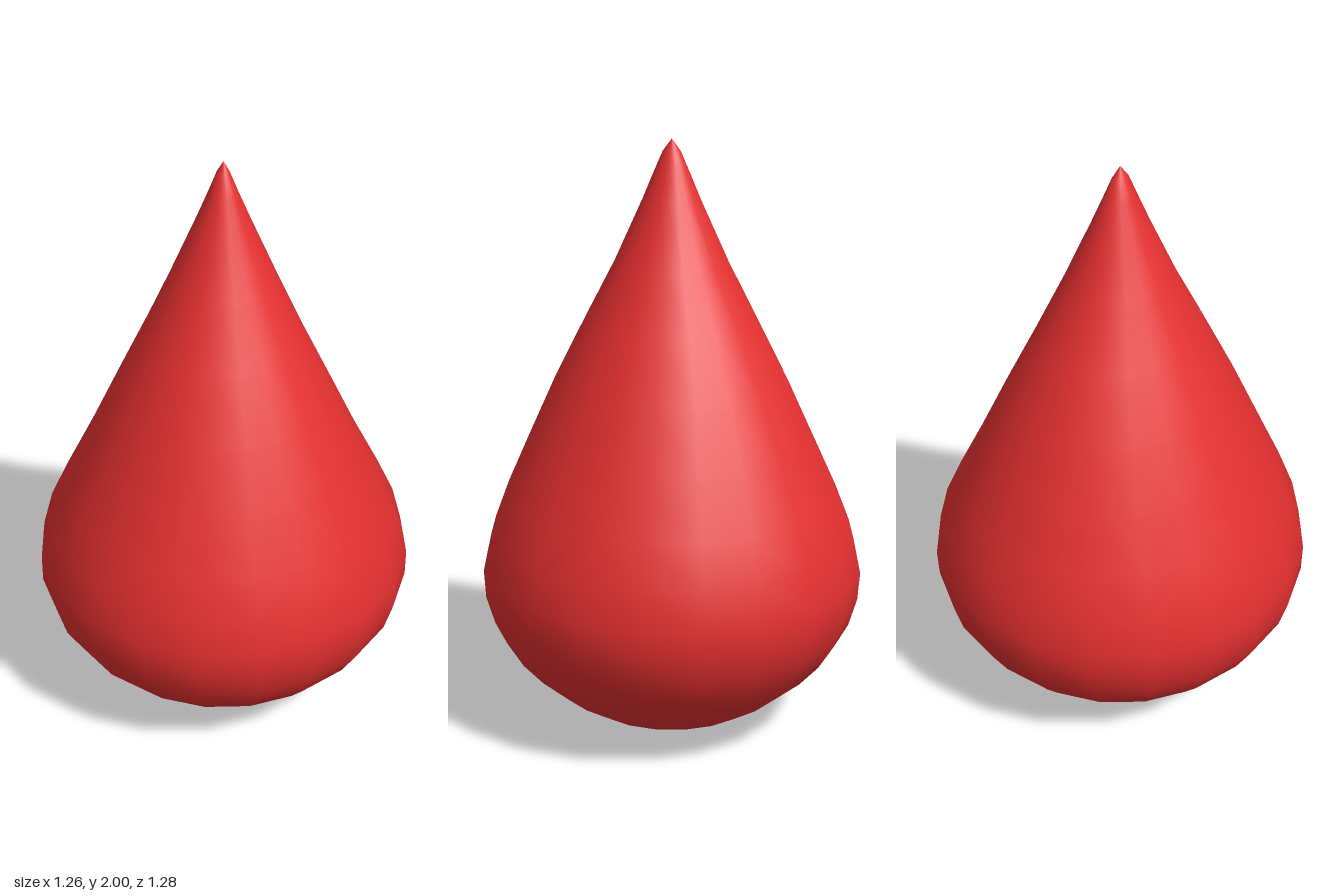
import * as THREE from 'three';

// Rows of the drop from bottom to tip: height, half-width in x, half-width in z
const ROWS = [
  [0.005, 0, 0], [0.013, 0.1, 0.1], [0.036, 0.2, 0.2], [0.08, 0.3, 0.3],
  [0.14, 0.395, 0.395], [0.21, 0.48, 0.48], [0.285, 0.547, 0.548],
  [0.375, 0.602, 0.604], [0.47, 0.63, 0.632], [0.565, 0.63, 0.64],
  [0.69, 0.596, 0.615], [0.82, 0.536, 0.568], [1.0, 0.445, 0.49],
  [1.2, 0.352, 0.4], [1.4, 0.258, 0.298], [1.6, 0.17, 0.192],
  [1.8, 0.085, 0.1], [1.89, 0.048, 0.062], [1.96, 0.021, 0.031], [2, 0, 0],
];

export function createModel() {
  const group = new THREE.Group();
  group.name = 'teardrop';

  // Round drop turned from the z profile
  const profile = ROWS.map(([y, , rz]) => new THREE.Vector2(rz, y));
  const geometry = new THREE.LatheGeometry(profile, 20);

  // Narrow each row in x so the neck is slightly oval
  const pos = geometry.attributes.position;
  for (let i = 0; i < pos.count; i++) {
    const [, rx, rz] = ROWS[i % ROWS.length];
    if (rz > 0) pos.setX(i, pos.getX(i) * rx / rz);
  }

  const drop = new THREE.Mesh(geometry, new THREE.MeshStandardMaterial({ color: 0xe53030 }));
  drop.name = 'dropBody';
  group.add(drop);
  return group;
}
